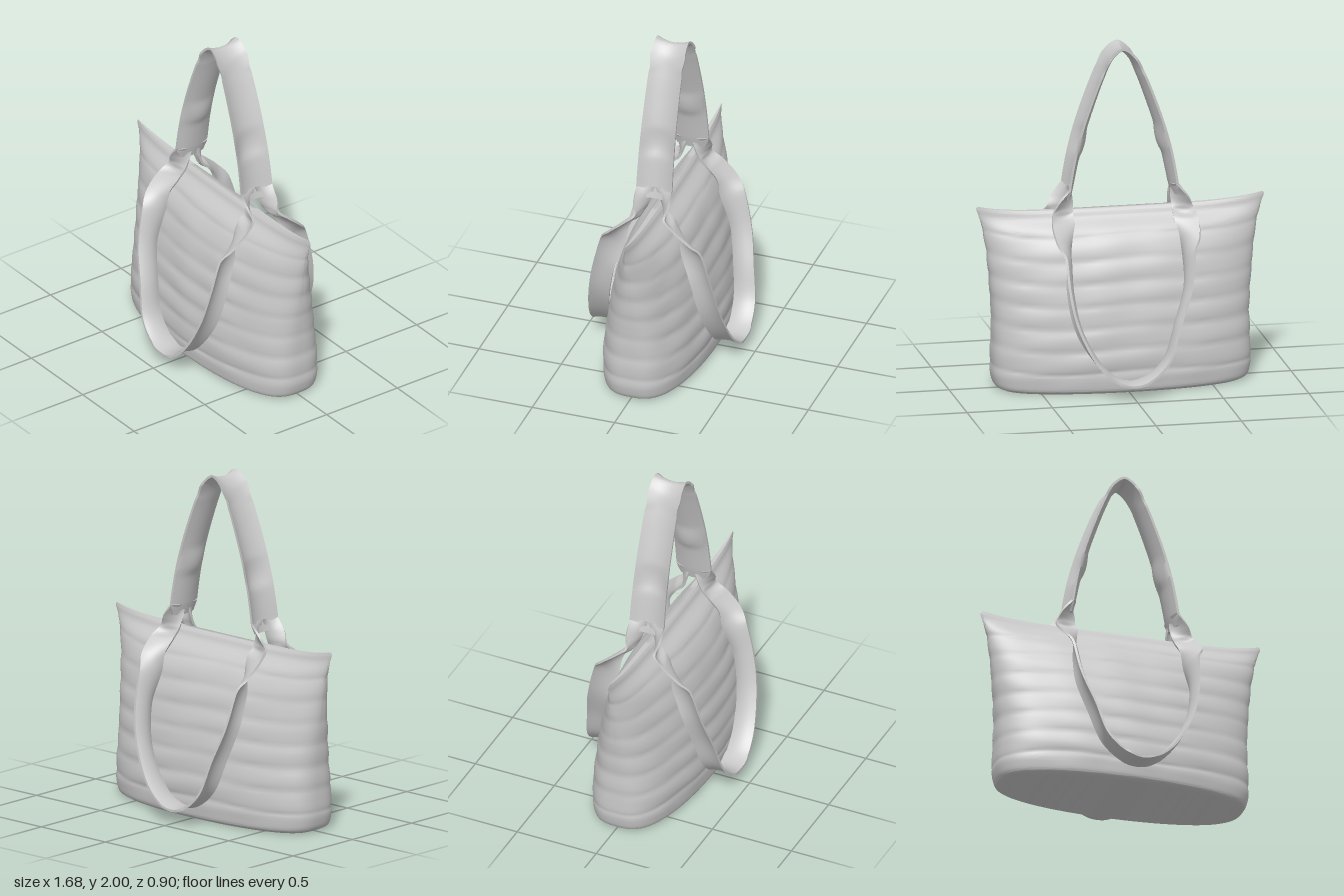
import * as THREE from 'three';
import { toCreasedNormals } from 'three/addons/utils/BufferGeometryUtils.js';

const canvas = new THREE.MeshStandardMaterial({ color: 0xc8c8c8 });
canvas.name = 'pale grey canvas';

// Skin a list of closed rings (counter-clockwise seen from the last ring).
// Point j of a ring lies opposite point n-1-j, so the ends close with strips.
function loft(rings, crease) {
  const n = rings[0].length, pos = [], idx = [];
  rings.forEach(r => r.forEach(p => pos.push(p.x, p.y, p.z)));
  for (let i = 0; i < rings.length - 1; i++) {
    for (let j = 0; j < n; j++) {
      const k = (j + 1) % n, a = i * n, b = a + n;
      idx.push(a + j, a + k, b + k, a + j, b + k, b + j);
    }
  }
  const last = (rings.length - 1) * n;
  for (let j = 0; j < n / 2 - 1; j++) {
    const k = j + 1, m = n - 1 - j, l = m - 1;
    idx.push(l, k, j, m, l, j);
    idx.push(last + j, last + k, last + l, last + j, last + l, last + m);
  }
  const g = new THREE.BufferGeometry();
  g.setAttribute('position', new THREE.Float32BufferAttribute(pos, 3));
  g.setIndex(idx);
  return toCreasedNormals(g, crease);
}

// Dished fabric band; stations are [x, y, z, half-width vector x, y, z, dish depth].
function strap(name, stations, steps) {
  const spline = f => new THREE.CatmullRomCurve3(stations.map(f));
  const path = spline(s => new THREE.Vector3(s[0], s[1], s[2]));
  const width = spline(s => new THREE.Vector3(s[3], s[4], s[5]));
  const dish = spline(s => new THREE.Vector3(s[6], 0, 0));
  const thick = 0.014, across = 10, rings = [];
  for (let i = 0; i <= steps; i++) {
    const t = i / steps, c = path.getPoint(t), w = width.getPoint(t);
    const n = path.getTangent(t).cross(w).normalize();
    const depth = dish.getPoint(t).x, ring = [];
    for (let side = 0; side < 2; side++) {
      for (let j = 0; j <= across; j++) {
        const u = (side ? -1 : 1) * (2 * j / across - 1);
        ring.push(c.clone().addScaledVector(w, u)
          .addScaledVector(n, depth * (1 - u * u) + side * thick));
      }
    }
    rings.push(ring);
  }
  const mesh = new THREE.Mesh(loft(rings, 0.9), canvas);
  mesh.name = name;
  return mesh;
}

const mirrorX = ([x, y, z, wx, wy, wz, d]) => [-x, y, z, -wx, wy, wz, d];
const mirrorZ = ([x, y, z, wx, wy, wz, d]) => [x, y, -z, -wx, -wy, wz, d];

// Soft quilted body: wide flat base pinched to a straight closed top seam.
function bagBody() {
  const profile = new THREE.CatmullRomCurve3([ // height, half width, half depth
    [0, 0.7, 0.26], [0.02, 0.735, 0.285], [0.08, 0.752, 0.293], [0.2, 0.752, 0.295],
    [0.4, 0.75, 0.272], [0.6, 0.765, 0.235], [0.8, 0.787, 0.178], [0.92, 0.81, 0.115],
    [0.99, 0.83, 0.045], [1.02, 0.842, 0.03], [1.035, 0.835, 0.018],
  ].map(p => new THREE.Vector3(...p)));
  const rows = 110, around = 120, rings = [];
  for (let i = 0; i <= rows; i++) {
    const p = profile.getPoint(i / rows), y = p.x;
    const power = 0.68 + 0.5 * y * y;
    const soft = THREE.MathUtils.smoothstep(y, 0.03, 0.12) * (1 - THREE.MathUtils.smoothstep(y, 0.88, 1));
    const ring = [];
    for (let j = 0; j < around; j++) {
      const a = ((j + 0.5) / around - 0.25) * Math.PI * 2, s = Math.sin(a), c = Math.cos(a);
      const x = p.y * s;
      // Horizontal quilting puffs with gentle creases
      const wave = y + 0.01 * Math.sin(x * 6 + c);
      const puff = 0.01 * Math.sqrt(Math.abs(Math.sin(Math.PI * wave / 0.128))) - 0.007
        + 0.003 * Math.sin(x * 13 + y * 21 + c * 2) * Math.sin(x * 7 - y * 17);
      const z = Math.sign(c) * Math.pow(Math.abs(c), power) * (p.z + puff * soft);
      const lift = 0.042 * y * Math.pow(Math.abs(s), 5);
      ring.push(new THREE.Vector3(x + puff * soft * s * 0.6, y + lift, z));
    }
    rings.push(ring);
  }
  const mesh = new THREE.Mesh(loft(rings, 0.9), canvas);
  mesh.name = 'quiltedBody';
  return mesh;
}

export function createModel() {
  const bag = new THREE.Group();
  bag.name = 'toteBag';
  bag.add(bagBody());

  // Raised shoulder strap with a rounded crown
  const rise = [
    [-0.33, 1.11, 0, 0, 0, 0.085, 0.02], [-0.322, 1.18, 0, 0, 0, 0.108, 0.03],
    [-0.29, 1.36, 0, 0, 0, 0.106, 0.036], [-0.245, 1.53, 0, 0, 0, 0.104, 0.036],
    [-0.19, 1.69, 0, 0, 0, 0.102, 0.034], [-0.13, 1.84, 0, 0, 0, 0.1, 0.03],
    [-0.075, 1.945, 0, 0, 0, 0.1, 0.026],
  ];
  const crown = [0, 1.997, 0, 0, 0, 0.098, 0.022];
  bag.add(strap('shoulderStrap', [...rise, crown, ...rise.map(mirrorX).reverse()], 110));

  // Hanging loops twist out of the shoulder strap, over the top edge and down each face
  const knot = [
    [0.313, 1.18, 0.055, 0.006, 0, 0.052, 0.015], [0.338, 1.1, 0.062, 0.045, 0, 0.036, 0.005],
    [0.352, 1.03, 0.068, 0.06, 0, 0.015, 0], [0.36, 0.975, 0.125, 0.068, 0, 0.02, 0],
    [0.37, 0.89, 0.198, 0.05, 0, 0.045, 0.005], [0.362, 0.8, 0.236, 0.022, 0.02, 0.066, 0.015],
  ];
  const leftSide = [
    [0.365, 0.62, 0.293, 0.005, 0.01, 0.062, 0.02], [0.322, 0.4, 0.336, 0, 0.01, 0.062, 0.018],
    [0.213, 0.2, 0.366, 0, 0, 0.065, 0.014], [0.105, 0.1, 0.376, 0, 0, 0.066, 0.01],
  ];
  const rightSide = [
    [-0.1, 0.1, 0.376, 0, 0, 0.066, 0.01], [-0.205, 0.2, 0.366, 0, 0, 0.065, 0.014],
    [-0.278, 0.4, 0.336, 0, 0.01, 0.062, 0.018], [-0.345, 0.6, 0.296, -0.005, 0.01, 0.062, 0.02],
  ];
  const loop = [...knot, ...leftSide, [0, 0.07, 0.378, 0, 0, 0.066, 0.008],
    ...rightSide, ...knot.map(mirrorX).reverse()];
  bag.add(strap('frontStrap', loop, 140));
  bag.add(strap('backStrap', loop.map(mirrorZ), 140));
  return bag;
}
